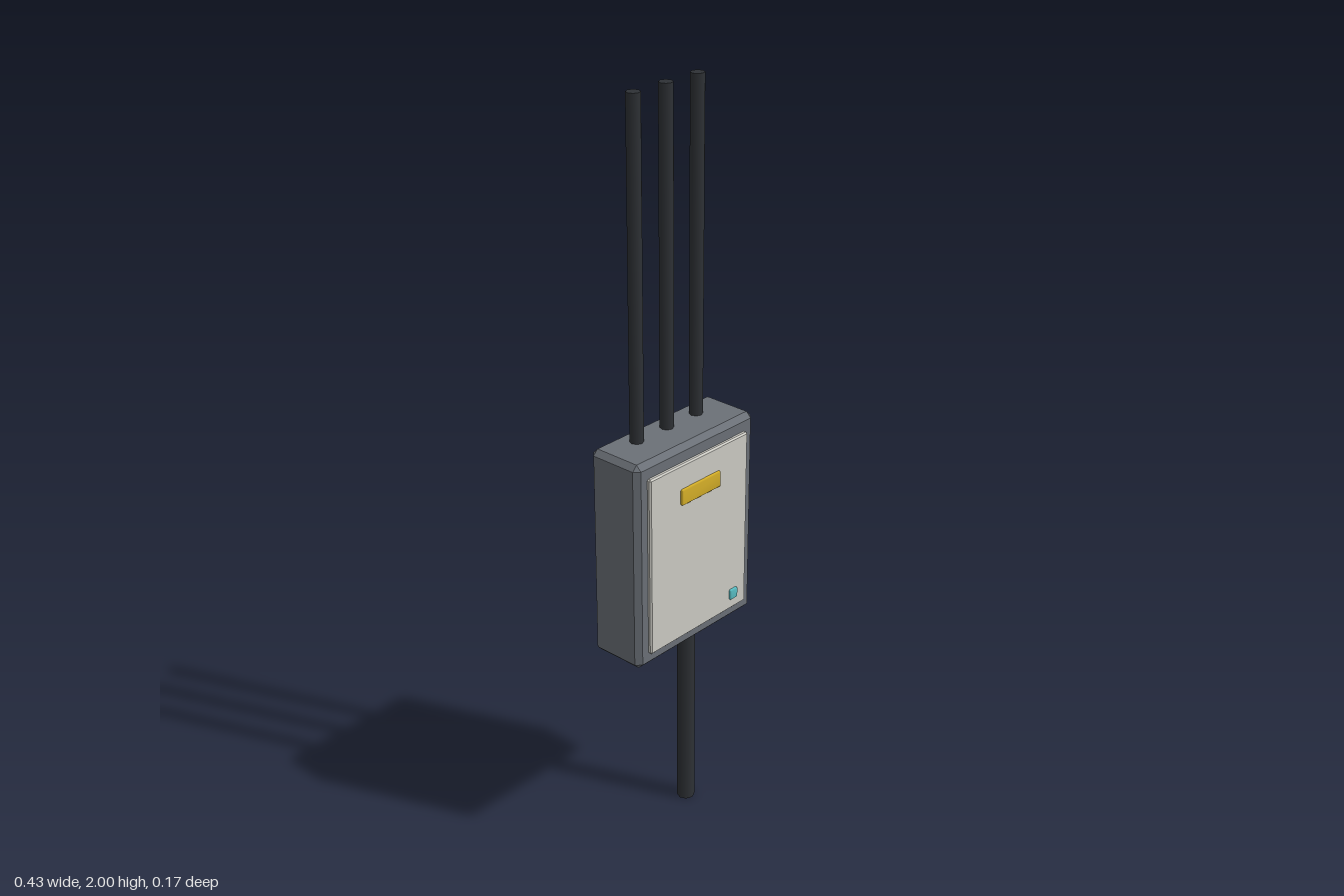
import * as THREE from 'three';
import { ConvexGeometry } from 'three/addons/geometries/ConvexGeometry.js';
import { mergeVertices } from 'three/addons/utils/BufferGeometryUtils.js';

const material = (color) => new THREE.MeshStandardMaterial({ color });

// Box with every edge and corner cut by a bevel; smooth blends the bevels into the faces
function bevelBox(w, h, d, bevel, smooth = false) {
  const half = [w / 2, h / 2, d / 2];
  const points = [];
  for (const sx of [-1, 1]) for (const sy of [-1, 1]) for (const sz of [-1, 1]) {
    for (let axis = 0; axis < 3; axis++) {
      const [x, y, z] = half.map((s, i) => (i === axis ? s : s - bevel));
      points.push(new THREE.Vector3(sx * x, sy * y, sz * z));
    }
  }
  let geometry = new ConvexGeometry(points);
  if (smooth) {
    geometry.deleteAttribute('normal');
    geometry = mergeVertices(geometry, 1e-5);
    geometry.computeVertexNormals();
  }
  return geometry;
}

export function createModel() {
  const group = new THREE.Group();
  const add = (name, geometry, mat, x, y, z) => {
    const mesh = new THREE.Mesh(geometry, mat);
    mesh.name = name;
    mesh.position.set(x, y, z);
    group.add(mesh);
  };

  const housingMat = material(0x6b7077);
  const conduitMat = material(0x2e3135);

  // Cabinet body
  add('housing', bevelBox(0.426, 0.565, 0.156, 0.014), housingMat, 0, 0.859, -0.01);

  // Raised front door with its plate and indicator lamp
  add('doorPanel', bevelBox(0.356, 0.486, 0.02, 0.004), material(0xcccbc4), 0, 0.857, 0.068);
  add('namePlate', bevelBox(0.142, 0.043, 0.014, 0.003, true), material(0xd4ae28), 0, 1.013, 0.078);
  add('indicatorLamp', bevelBox(0.028, 0.029, 0.014, 0.003, true), material(0x58bcc2), 0.128, 0.658, 0.078);

  // Three conduits rising from the top
  for (const x of [-0.107, 0, 0.107]) {
    add('upperConduit', new THREE.CylinderGeometry(0.0175, 0.0175, 0.88, 8), conduitMat, x, 1.56, -0.032);
  }

  // Thicker conduit running down to the ground
  add('lowerConduit', new THREE.CylinderGeometry(0.0235, 0.0235, 0.6, 8), conduitMat, 0.071, 0.3, -0.03);

  return group;
}
